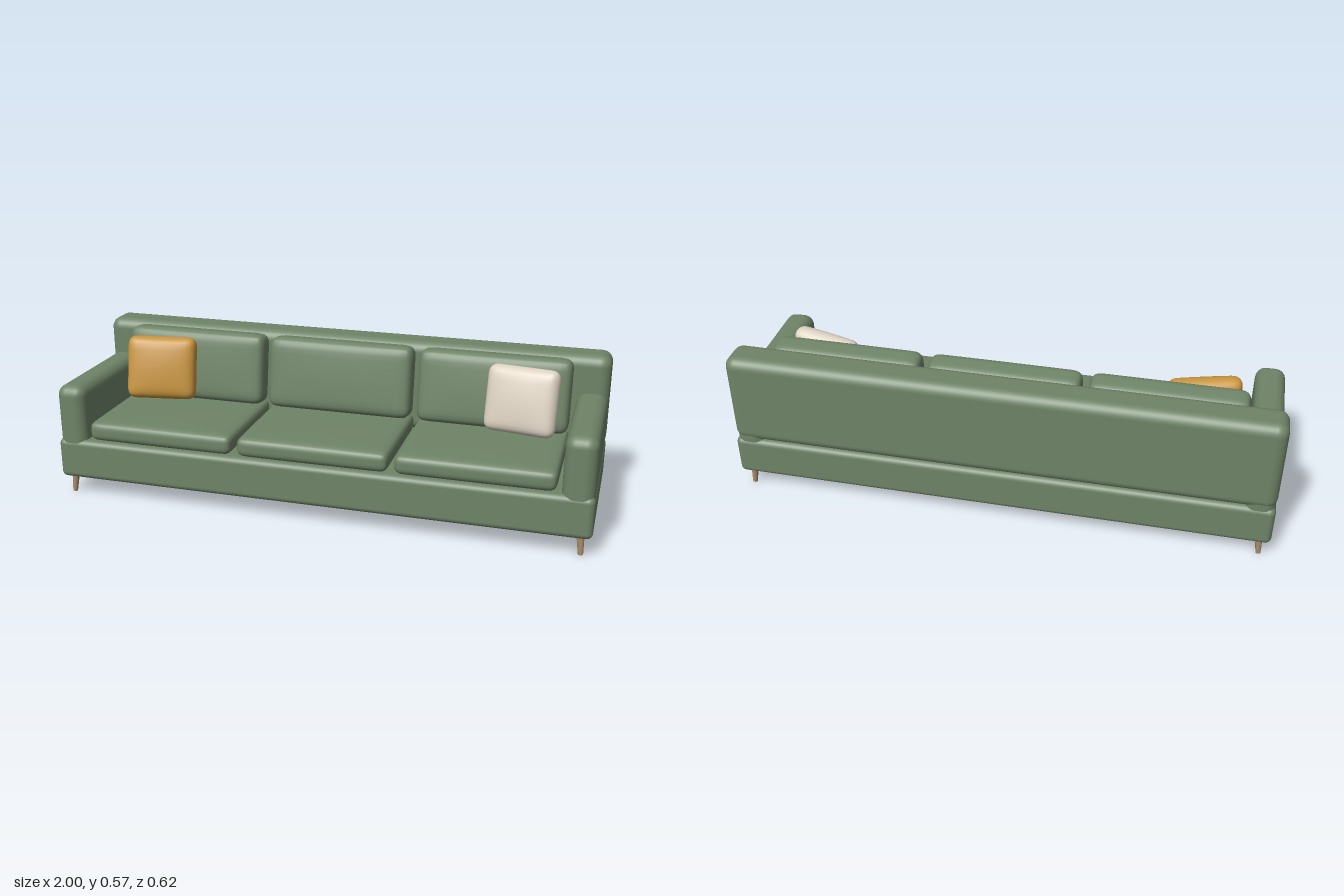
import * as THREE from 'three';
import { RoundedBoxGeometry } from 'three/addons/geometries/RoundedBoxGeometry.js';
import { mergeVertices } from 'three/addons/utils/BufferGeometryUtils.js';

const material = (color) => new THREE.MeshStandardMaterial({ color });

// Rounded block given by its min and max along each axis
function block(name, [x0, x1], [y0, y1], [z0, z1], radius, mat) {
  const mesh = new THREE.Mesh(new RoundedBoxGeometry(x1 - x0, y1 - y0, z1 - z0, 4, radius), mat);
  mesh.position.set((x0 + x1) / 2, (y0 + y1) / 2, (z0 + z1) / 2);
  mesh.name = name;
  return mesh;
}

// Rounded cushion whose two broad faces swell by "crown" along the thin axis
function cushion(name, size, radius, crown, thin, mat) {
  let geo = new THREE.BoxGeometry(2, 2, 2, 16, 16, 16);
  geo.deleteAttribute('uv');
  geo.deleteAttribute('normal');
  geo = mergeVertices(geo);
  const half = new THREE.Vector3(...size).multiplyScalar(0.5);
  const core = half.clone().subScalar(radius);
  const pos = geo.attributes.position;
  const p = new THREE.Vector3();
  const inner = new THREE.Vector3();
  for (let i = 0; i < pos.count; i++) {
    p.fromBufferAttribute(pos, i);
    // Gather grid lines near the edges so the rounding is smooth
    ['x', 'y', 'z'].forEach((a) => { p[a] = Math.sin(p[a] * Math.PI / 2) * half[a]; });
    inner.copy(p).clamp(core.clone().negate(), core);
    p.sub(inner).normalize().multiplyScalar(radius).add(inner);
    let swell = crown * p[thin] / half[thin];
    for (const a of ['x', 'y', 'z']) if (a !== thin) swell *= 1 - (p[a] / half[a]) ** 2;
    p[thin] += swell;
    pos.setXYZ(i, p.x, p.y, p.z);
  }
  geo.computeVertexNormals();
  const mesh = new THREE.Mesh(geo, mat);
  mesh.name = name;
  return mesh;
}

export function createModel() {
  const sofa = new THREE.Group();
  sofa.name = 'sofa';
  const green = material(0x6f8468);
  const wood = material(0xa88c6c);

  // Upholstered frame
  sofa.add(block('base', [-1, 1], [0.07, 0.225], [-0.308, 0.308], 0.022, green));
  sofa.add(block('backrest', [-1, 1], [0.222, 0.575], [-0.308, -0.168], 0.04, green));
  sofa.add(block('leftArm', [0.885, 0.997], [0.17, 0.435], [-0.304, 0.306], 0.04, green));
  sofa.add(block('rightArm', [-0.997, -0.885], [0.17, 0.435], [-0.304, 0.306], 0.04, green));

  // Three seat cushions with leaning back cushions
  ['right', 'middle', 'left'].forEach((side, i) => {
    const x = (i - 1) * 0.587;
    const seat = cushion(side + 'SeatCushion', [0.565, 0.075, 0.46], 0.028, 0.004, 'y', green);
    seat.position.set(x, 0.265, 0.072);
    const back = cushion(side + 'BackCushion', [0.562, 0.275, 0.108], 0.036, 0.006, 'z', green);
    back.position.set(x, 0.435, -0.114);
    back.rotation.x = -0.15;
    sofa.add(seat, back);
  });

  // Throw pillows turned towards the middle
  for (const [name, side, color] of [['rightPillow', -1, 0xc8953f], ['leftPillow', 1, 0xddd2c2]]) {
    const pillow = cushion(name, [0.268, 0.244, 0.07], 0.034, 0.014, 'z', material(color));
    pillow.position.set(side * 0.702, 0.438, -0.014);
    pillow.rotation.set(-0.22, -side * 0.25, side * 0.03, 'YXZ');
    sofa.add(pillow);
  }

  // Tapered, slightly splayed legs
  const legGeo = new THREE.CylinderGeometry(0.0145, 0.009, 0.08, 16);
  for (const sx of [-1, 1]) for (const sz of [-1, 1]) {
    const leg = new THREE.Mesh(legGeo, wood);
    leg.name = (sz > 0 ? 'front' : 'back') + (sx > 0 ? 'Left' : 'Right') + 'Leg';
    leg.position.set(sx * 0.961, 0.041, sz * 0.27);
    leg.rotation.set(-sz * 0.08, 0, sx * 0.08);
    sofa.add(leg);
  }
  return sofa;
}
